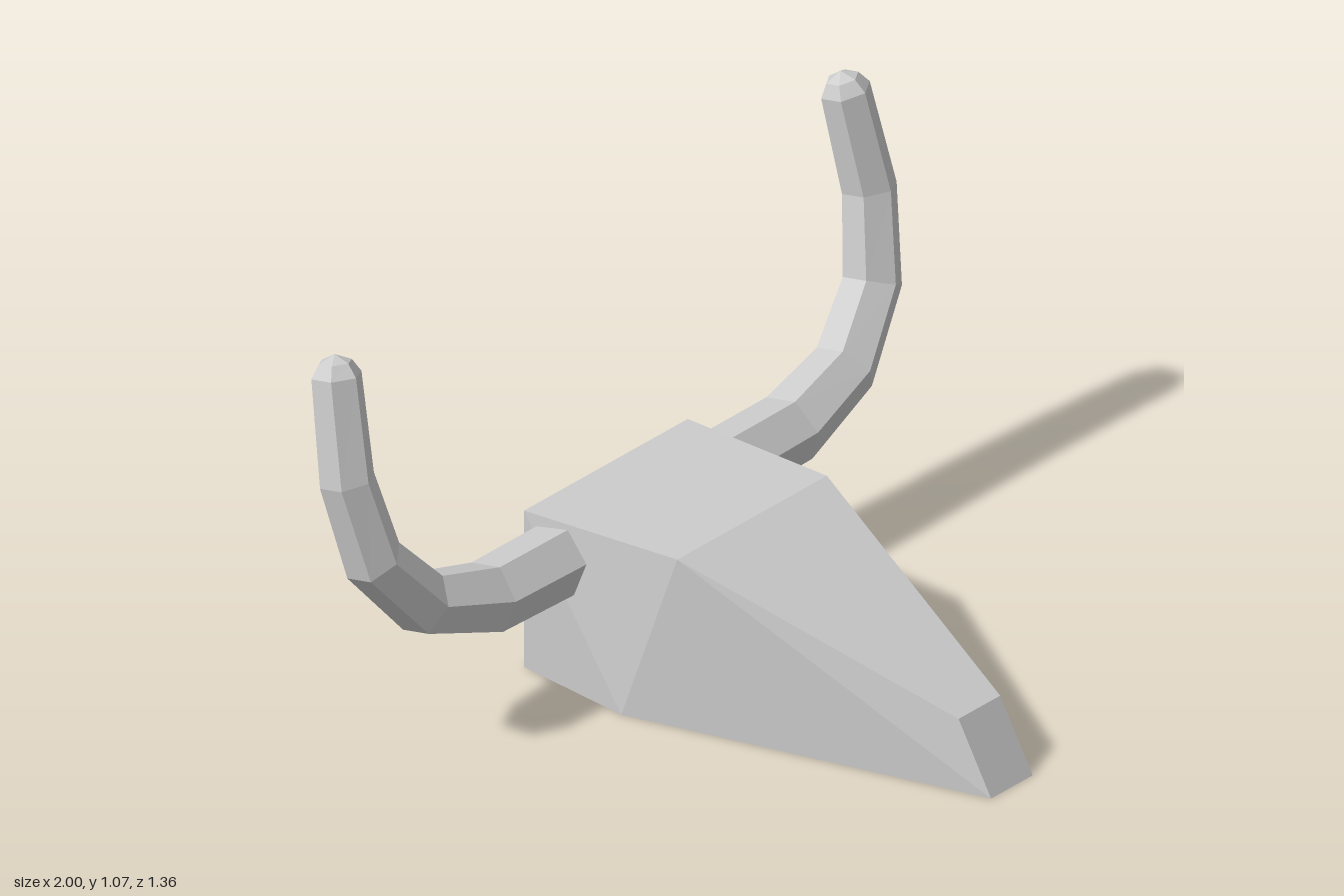
import * as THREE from 'three';

const material = new THREE.MeshStandardMaterial({ color: 0xcccccc, flatShading: true });

// Skin a list of equal-sized rings (counter-clockwise seen from the far end) and close both ends.
function loft(name, rings, endTip) {
  const pos = [];
  const tri = (...pts) => pts.forEach((p) => pos.push(p.x, p.y, p.z));
  const centre = (ring) =>
    ring.reduce((sum, p) => sum.add(p), new THREE.Vector3()).divideScalar(ring.length);
  const n = rings[0].length;
  const first = rings[0];
  const last = rings[rings.length - 1];
  const startTip = centre(first);
  const tip = endTip || centre(last);
  for (let k = 0; k < n; k++) {
    const j = (k + 1) % n;
    for (let i = 0; i < rings.length - 1; i++) {
      const a = rings[i];
      const b = rings[i + 1];
      tri(a[k], a[j], b[j]);
      tri(a[k], b[j], b[k]);
    }
    tri(startTip, first[j], first[k]);
    tri(tip, last[k], last[j]);
  }
  const geometry = new THREE.BufferGeometry();
  geometry.setAttribute('position', new THREE.Float32BufferAttribute(pos, 3));
  geometry.computeVertexNormals();
  const mesh = new THREE.Mesh(geometry, material);
  mesh.name = name;
  return mesh;
}

// Wedge-shaped skull: back, brow and muzzle sections.
function createSkull() {
  const sections = [
    { bottom: [0.295, -0.57], top: [0.295, 0.417, -0.57] },
    { bottom: [0.325, -0.245], top: [0.27, 0.435, -0.12] },
    { bottom: [0.075, 0.68], top: [0.075, 0.177, 0.58] },
  ];
  return loft('skull', sections.map(({ bottom: [bx, bz], top: [tx, ty, tz] }) => [
    new THREE.Vector3(bx, 0, bz),
    new THREE.Vector3(tx, ty, tz),
    new THREE.Vector3(-tx, ty, tz),
    new THREE.Vector3(-bx, 0, bz),
  ]));
}

// Six-sided tapering horn, curved within a plane that leans backwards.
function createHorn(name, side) {
  const lean = 0.21;
  const normal = new THREE.Vector3(0, lean, 1).normalize();
  const place = (x, y) => new THREE.Vector3(side * x, y, -0.47 - lean * (y - 0.325));
  // x, y, radius
  const path = [
    [0.2, 0.32, 0.093], [0.545, 0.325, 0.09], [0.76, 0.394, 0.081],
    [0.9, 0.553, 0.074], [0.942, 0.768, 0.068], [0.918, 1.02, 0.062],
    [0.914, 1.052, 0.041],
  ];
  const points = path.map(([x, y]) => place(x, y));
  const rings = points.map((c, i) => {
    // average the directions of the neighbouring segments for a clean mitre
    const tangent = new THREE.Vector3();
    if (i > 0) tangent.add(c.clone().sub(points[i - 1]).normalize());
    if (i < points.length - 1) tangent.add(points[i + 1].clone().sub(c).normalize());
    const across = tangent.normalize().cross(normal);
    return Array.from({ length: 6 }, (_, k) => {
      const a = (k * Math.PI) / 3;
      return c.clone()
        .addScaledVector(normal, path[i][2] * Math.cos(a))
        .addScaledVector(across, path[i][2] * Math.sin(a));
    });
  });
  return loft(name, rings, place(0.912, 1.07));
}

export function createModel() {
  const model = new THREE.Group();
  model.name = 'hornedSkull';
  model.add(createSkull(), createHorn('leftHorn', 1), createHorn('rightHorn', -1));
  return model;
}
